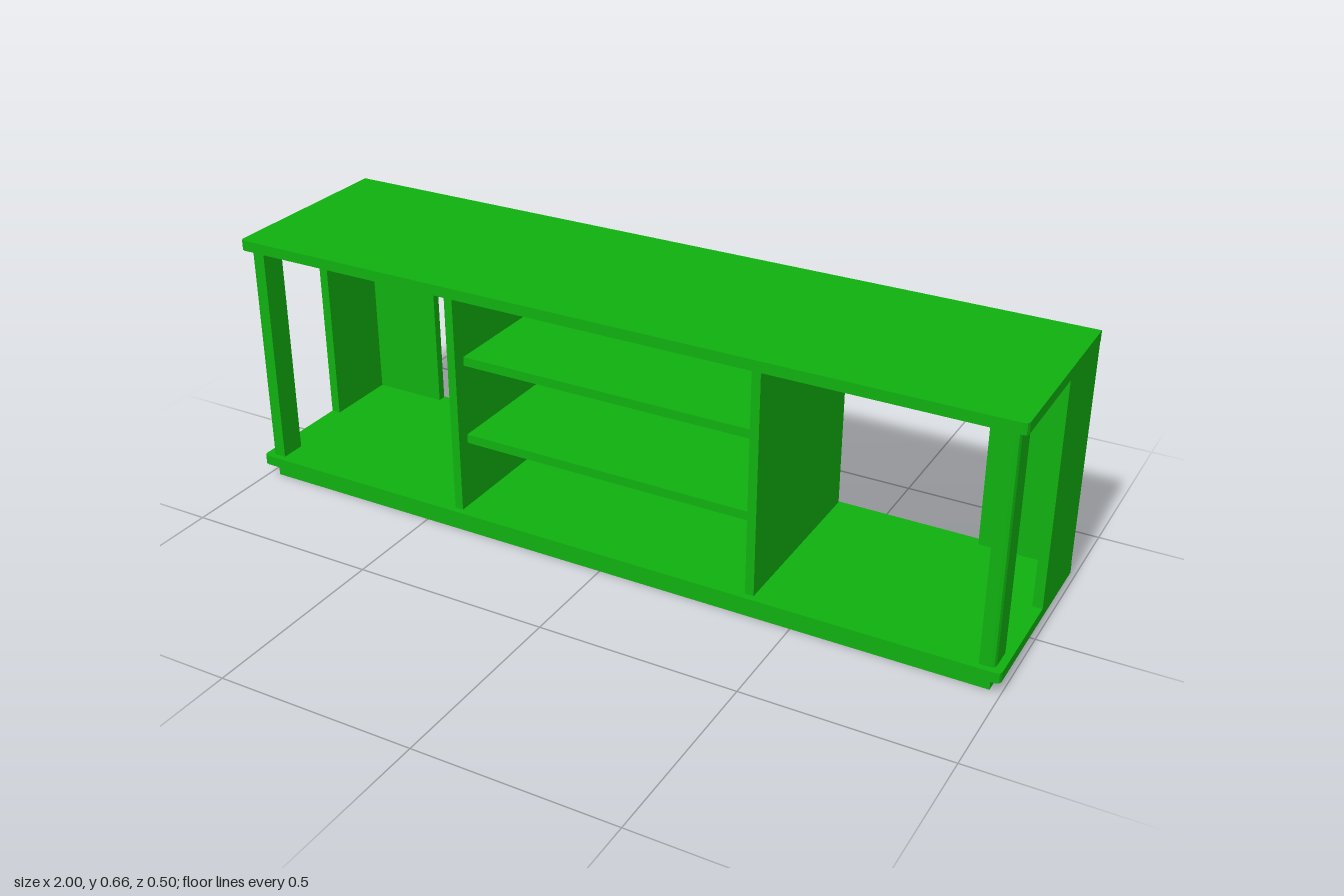
import * as THREE from 'three';

const green = new THREE.MeshStandardMaterial({ color: 0x10b010 });

// Box given by its minimum and maximum corners
function box(name, [x0, y0, z0], [x1, y1, z1]) {
  const mesh = new THREE.Mesh(new THREE.BoxGeometry(x1 - x0, y1 - y0, z1 - z0), green);
  mesh.name = name;
  mesh.position.set((x0 + x1) / 2, (y0 + y1) / 2, (z0 + z1) / 2);
  return mesh;
}

// Upright prism from a plan outline of [x, z] points
function prism(name, plan, y0, y1) {
  const shape = new THREE.Shape(plan.map(([x, z]) => new THREE.Vector2(x, -z)));
  const geometry = new THREE.ExtrudeGeometry(shape, { depth: y1 - y0, bevelEnabled: false });
  geometry.rotateX(-Math.PI / 2);
  const mesh = new THREE.Mesh(geometry, green);
  mesh.name = name;
  mesh.position.y = y0;
  return mesh;
}

export function createModel() {
  const group = new THREE.Group();
  group.name = 'mediaConsole';
  const floorY = 0.062, ceilingY = 0.636;

  // Recessed plinth
  group.add(box('plinth', [-0.973, 0, -0.228], [0.973, 0.036, 0.231]));

  // Bottom and top boards with clipped front corners
  const board = [
    [-1, -0.252], [-1, 0.241], [-0.997, 0.249], [-0.989, 0.252],
    [0.989, 0.252], [0.997, 0.249], [1, 0.241], [1, -0.252],
  ];
  group.add(prism('bottomBoard', board, 0.036, floorY));
  group.add(prism('topBoard', board, ceilingY, 0.663));

  for (const s of [-1, 1]) {
    const side = s > 0 ? 'left' : 'right';

    // L-shaped panel wrapping each back corner
    const corner = [
      [1, -0.249], [0.78, -0.249], [0.78, -0.227],
      [0.976, -0.227], [0.976, -0.033], [1, -0.033],
    ];
    group.add(prism(side + 'CornerPanel', corner.map(([x, z]) => [s * x, z]), floorY, ceilingY));

    // Front post with an eased outer corner
    const post = [
      [0.945, 0.17], [0.945, 0.236], [0.972, 0.236],
      [0.979, 0.233], [0.982, 0.225], [0.982, 0.17],
    ];
    group.add(prism(side + 'FrontPost', post.map(([x, z]) => [s * x, z]), floorY, ceilingY));

    // Divider beside the shelves
    const x = s * 0.398;
    group.add(box(side + 'Divider', [x - 0.011, floorY, -0.248], [x + 0.011, ceilingY, 0.235]));
  }

  // Middle shelves
  for (const [name, y] of [['lowerShelf', 0.233], ['upperShelf', 0.442]]) {
    group.add(box(name, [-0.387, y, -0.19], [0.387, y + 0.023, 0.2]));
  }
  return group;
}
